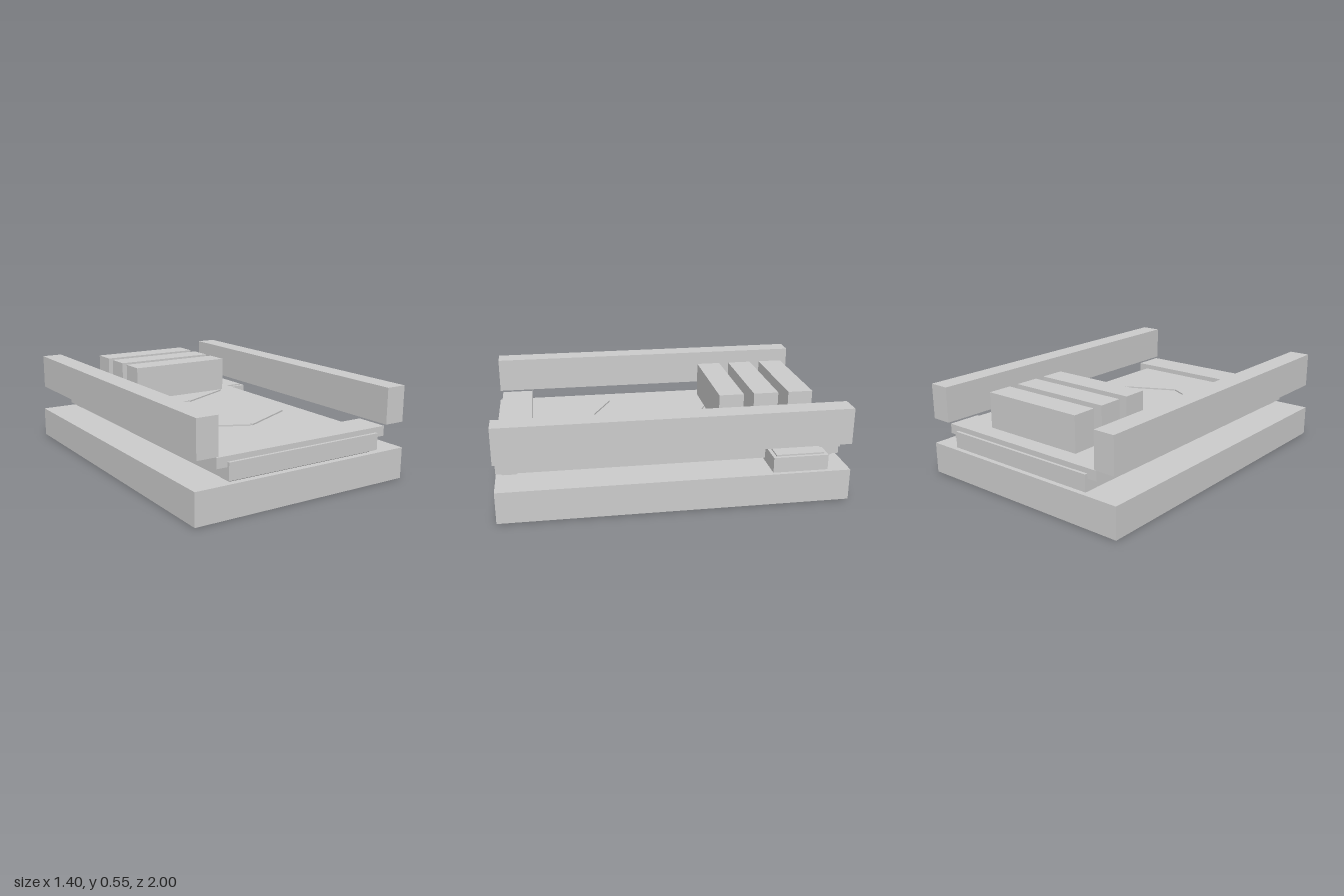
import * as THREE from 'three';

export function createModel() {
  const model = new THREE.Group();
  const grey = new THREE.MeshStandardMaterial({ color: 0xcccccc, flatShading: true });

  // Box given by its [min, max] range on each axis
  function box(name, [x0, x1], [y0, y1], [z0, z1]) {
    const mesh = new THREE.Mesh(new THREE.BoxGeometry(x1 - x0, y1 - y0, z1 - z0), grey);
    mesh.name = name;
    mesh.position.set((x0 + x1) / 2, (y0 + y1) / 2, (z0 + z1) / 2);
    model.add(mesh);
    return mesh;
  }

  // Base slab and the belt that floats just above it
  box('base', [-0.7, 0.7], [0, 0.185], [-1, 1]);
  box('belt', [-0.5, 0.5], [0.203, 0.3], [-1, 1]);

  // Rollers, end crossbars: one of each at the front and back
  for (const [end, s] of [['front', 1], ['back', -1]]) {
    const roller = new THREE.Mesh(new THREE.CylinderGeometry(0.068, 0.068, 0.95, 16), grey);
    roller.name = end + 'Roller';
    roller.rotation.z = Math.PI / 2;
    roller.position.set(0, 0.24, s * 0.925);
    model.add(roller);

    const z = s * 0.885;
    box(end + 'Crossbar', [-0.563, 0.563], [0.272, 0.33], [z - 0.098, z + 0.098]);
  }

  // Raised side rails
  box('leftRail', [0.563, 0.69], [0.34, 0.552], [-1, 1]);
  box('rightRail', [-0.69, -0.563], [0.34, 0.552], [-1, 1]);

  // Chevron marks on the belt, each made of two mirrored strips
  for (const z of [0.385, -0.315]) {
    for (const s of [1, -1]) {
      const strip = box('chevronStrip', [-0.1965, 0.1965], [0.299, 0.309], [-0.02, 0.02]);
      strip.position.x = s * 0.176;
      strip.position.z = z;
      strip.rotation.y = s * 0.461;
    }
  }

  // Row of three blocks towards the back
  for (const z of [-0.805, -0.595, -0.385]) {
    box('block', [-0.325, 0.325], [0.33, 0.541], [z - 0.074, z + 0.074]);
  }

  // Drive housing with a thin lid on the left side
  box('driveHousing', [0.475, 0.675], [0.185, 0.275], [-0.873, -0.553]);
  box('driveLid', [0.495, 0.655], [0.275, 0.284], [-0.853, -0.573]);

  return model;
}
